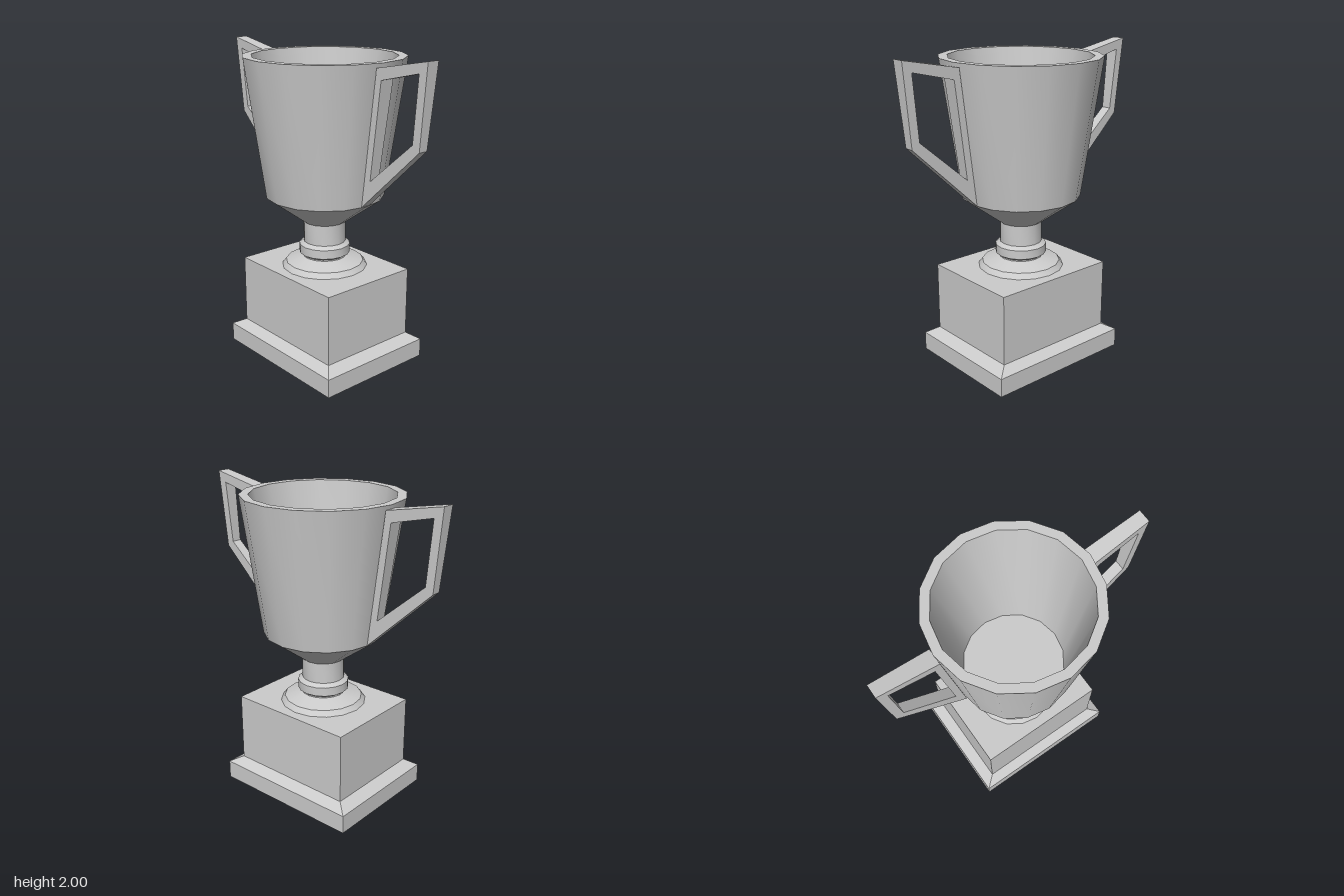
import * as THREE from 'three';
import { toCreasedNormals } from 'three/addons/utils/BufferGeometryUtils.js';

const material = new THREE.MeshStandardMaterial({ color: 0xcccccc });
const flat = new THREE.MeshStandardMaterial({ color: 0xcccccc, flatShading: true });

function addMesh(parent, name, geometry, mat) {
  const mesh = new THREE.Mesh(geometry, mat);
  mesh.name = name;
  parent.add(mesh);
  return mesh;
}

// Round part turned from a [radius, y] profile, smooth around, sharp at the edges
function turned(profile) {
  const points = profile.map(([r, y]) => new THREE.Vector2(r, y));
  return toCreasedNormals(new THREE.LatheGeometry(points, 16), 0.5);
}

// Rectangular sections [halfX, halfZ, y] joined in order
function rectLoft(sections) {
  const positions = [];
  const corners = [[1, 1], [1, -1], [-1, -1], [-1, 1]];
  const at = ([hx, hz, y], k) => [corners[k % 4][0] * hx, y, corners[k % 4][1] * hz];
  for (let i = 0; i < sections.length - 1; i++) {
    const low = sections[i], high = sections[i + 1];
    for (let k = 0; k < 4; k++) {
      const a = at(low, k), b = at(low, k + 1), c = at(high, k + 1), d = at(high, k);
      if (low[0] > 0) positions.push(...a, ...b, ...c);
      if (high[0] > 0) positions.push(...a, ...c, ...d);
    }
  }
  const geometry = new THREE.BufferGeometry();
  geometry.setAttribute('position', new THREE.Float32BufferAttribute(positions, 3));
  geometry.computeVertexNormals();
  return geometry;
}

// Angular loop handle, drawn in (z, y), narrowing outward and downward
function handleGeometry() {
  const toPoints = list => list.map(([z, y]) => new THREE.Vector2(z, y));
  const shape = new THREE.Shape(toPoints([[0.375, 1.09], [0.815, 1.505], [0.862, 2.0], [0.495, 1.93]]));
  shape.holes.push(new THREE.Path(toPoints([[0.445, 1.265], [0.53, 1.865], [0.802, 1.93], [0.765, 1.54]])));
  const geometry = new THREE.ExtrudeGeometry(shape, { depth: 2, bevelEnabled: false });
  geometry.translate(0, 0, -1);
  geometry.rotateY(-Math.PI / 2);
  const p = geometry.attributes.position;
  for (let i = 0; i < p.count; i++) {
    const halfWidth = 0.05 - 0.028 * (p.getZ(i) - 0.5) + 0.024 * (p.getY(i) - 1.93);
    p.setX(i, p.getX(i) * halfWidth);
  }
  geometry.computeVertexNormals();
  return geometry;
}

export function createModel() {
  const trophy = new THREE.Group();
  trophy.name = 'trophy';

  // Hollow plinth: inside from the ceiling down, then outside up to the top
  addMesh(trophy, 'plinth', rectLoft([
    [0, 0, 0.53], [0.27, 0.36, 0.53], [0.27, 0.36, 0.15], [0.335, 0.43, 0.11], [0.335, 0.43, 0],
    [0.4, 0.5, 0], [0.4, 0.5, 0.12], [0.336, 0.424, 0.162], [0.336, 0.424, 0.61], [0, 0, 0.61],
  ]), flat);

  // Foot, collar and neck
  addMesh(trophy, 'stem', turned([
    [0.275, 0.61], [0.25, 0.643], [0.14, 0.677], [0.14, 0.685], [0.163, 0.7],
    [0.163, 0.757], [0.135, 0.777], [0.135, 0.912],
  ]), material);

  // Open cup with a thick wall and a flat floor
  addMesh(trophy, 'cup', turned([
    [0, 0.91], [0.135, 0.91], [0.377, 1.087], [0.502, 1.955], [0.445, 1.955], [0.317, 1.1], [0, 1.1],
  ]), material);

  // Front and back handles
  const handle = handleGeometry();
  addMesh(trophy, 'frontHandle', handle, flat);
  addMesh(trophy, 'backHandle', handle, flat).rotation.y = Math.PI;

  return trophy;
}
